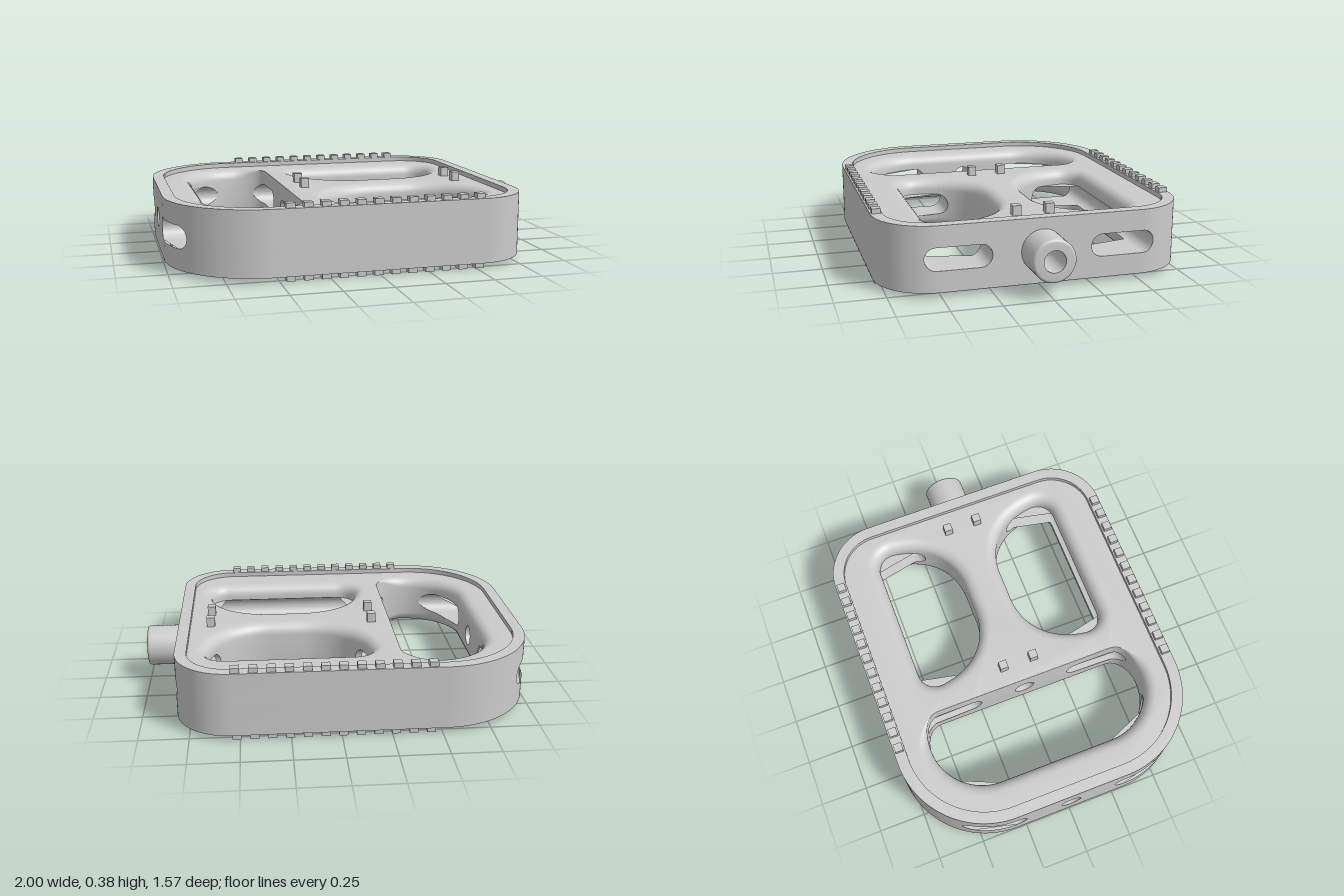
import * as THREE from 'three';
import { mergeGeometries, toCreasedNormals } from 'three/addons/utils/BufferGeometryUtils.js';

const MID = 0.19, RIM = 0.165, FLOOR = 0.14, PIN_TOP = 0.19; // heights above the mid plane
const BORE = 0.055, SLOT_R = 0.0575, SLOT_A = 0.3075, SLOT_B = 0.5225;
const D_FLAT = 0.525, TIP = 1.0;
const material = new THREE.MeshStandardMaterial({ color: 0xcccccc, side: THREE.DoubleSide });

// Half height of the cross-drilled openings (bore and slots) at a given depth
function opening(z) {
  const a = Math.abs(z);
  if (a < BORE) return Math.sqrt(BORE * BORE - a * a);
  const d = Math.max(0, SLOT_A - a, a - SLOT_B);
  return d < SLOT_R ? Math.sqrt(SLOT_R * SLOT_R - d * d) : 0;
}

// Depth samples across the bore and across one slot
const boreZ = [], slotZ = [];
for (let i = 0; i <= 20; i++) boreZ.push(-BORE * Math.cos(Math.PI * i / 20));
for (let i = 0; i <= 10; i++) slotZ.push(SLOT_A - SLOT_R * Math.cos(Math.PI * i / 20));
slotZ.push(SLOT_B);
for (let i = 1; i <= 10; i++) slotZ.push(SLOT_B + SLOT_R * Math.sin(Math.PI * i / 20));
slotZ.push(D_FLAT);
slotZ.sort((a, b) => a - b);
const breaks = [...boreZ, ...slotZ, ...slotZ.map(z => -z)];

// Outline points without duplicates, with extra points where openings begin and end
function sample(shape) {
  let pts = shape.getPoints(20);
  pts = pts.filter((p, i) => p.distanceTo(pts[(i + 1) % pts.length]) > 1e-5);
  const out = [];
  pts.forEach((a, i) => {
    const b = pts[(i + 1) % pts.length];
    out.push(a);
    breaks.filter(z => (z - a.y) * (z - b.y) < 0 && Math.min(Math.abs(z - a.y), Math.abs(z - b.y)) > 1e-5)
      .map(z => (z - a.y) / (b.y - a.y)).sort((p, q) => p - q)
      .forEach(t => out.push(a.clone().lerp(b, t)));
  });
  return out;
}

// Body outline: large corners on the outer end, small ones on the spindle end
function bodyShape(inset) {
  const x0 = -1 + inset, x1 = 0.82 - inset, z = 0.785 - inset, R = 0.48 - inset, r = 0.28 - inset;
  const s = new THREE.Shape();
  s.absarc(x1 - r, z - r, r, 0, Math.PI / 2);
  s.absarc(x0 + R, z - R, R, Math.PI / 2, Math.PI);
  s.absarc(x0 + R, R - z, R, Math.PI, Math.PI * 1.5);
  s.absarc(x1 - r, r - z, r, Math.PI * 1.5, Math.PI * 2);
  return s;
}

function endWindow() {
  const s = new THREE.Shape();
  s.moveTo(-0.325, -0.49);
  s.lineTo(-0.325, 0.49);
  s.bezierCurveTo(-0.325, 0.56, -0.39, 0.6, -0.495, 0.6);
  s.absarc(-0.495, 0.31, 0.29, Math.PI / 2, Math.PI);
  s.absarc(-0.495, -0.31, 0.29, Math.PI, Math.PI * 1.5);
  s.bezierCurveTo(-0.39, -0.6, -0.325, -0.56, -0.325, -0.49);
  return s;
}

function sideWindow() {
  const s = new THREE.Shape();
  s.moveTo(0.16, 0.105);
  s.lineTo(0.32, 0.105);
  s.bezierCurveTo(0.48, 0.105, 0.63, 0.2, 0.658, 0.42);
  s.bezierCurveTo(0.662, 0.48, 0.62, D_FLAT, 0.56, D_FLAT);
  s.lineTo(-0.08, D_FLAT);
  s.bezierCurveTo(-0.14, D_FLAT, -0.182, 0.48, -0.178, 0.42);
  s.bezierCurveTo(-0.15, 0.2, 0, 0.105, 0.16, 0.105);
  return s;
}

// Surface through rows of [x, y, z] points
function loft(rows, closed) {
  const n = rows[0].length, index = [];
  for (let i = 0; i < rows.length - 1; i++) {
    for (let j = 0; j < (closed ? n : n - 1); j++) {
      const k = (j + 1) % n, a = i * n + j, b = i * n + k;
      index.push(a, b, b + n, a, b + n, a + n);
    }
  }
  const g = new THREE.BufferGeometry();
  g.setAttribute('position', new THREE.Float32BufferAttribute(rows.flat(2), 3));
  g.setIndex(index);
  return g;
}

const ring = (pts, y) => pts.map((p, i) => [p.x, typeof y === 'function' ? y(p, i) : y, -p.y]);

function plate(outer, holes, y) {
  const s = new THREE.Shape(outer);
  s.holes = holes.map(h => new THREE.Path(h));
  return new THREE.ShapeGeometry(s).rotateX(-Math.PI / 2).translate(0, y, 0);
}

// Window wall ending in a rounded edge of radius r(point); also returns its outer edge
function windowWall(pts, r) {
  const n = pts.length;
  const push = (amount) => pts.map((p, i) => {
    const t = pts[(i + 1) % n].clone().sub(pts[(i + n - 1) % n]).normalize();
    return new THREE.Vector2(p.x + t.y * amount(p), p.y - t.x * amount(p));
  });
  const rows = [ring(pts, p => opening(p.y))];
  let edge;
  for (let k = 0; k <= 8; k++) {
    const a = k / 8 * Math.PI / 2;
    edge = push(p => r(p) * (1 - Math.cos(a)));
    rows.push(ring(edge, (_, i) => FLOOR - r(pts[i]) * (1 - Math.sin(a))));
  }
  return { geometry: loft(rows.reverse(), true), edge };
}

// Leftmost (-1) or rightmost (+1) x of an outline at depth z
function xAt(pts, z, side) {
  let best = -Infinity;
  pts.forEach((a, i) => {
    const b = pts[(i + 1) % pts.length];
    if ((z - a.y) * (z - b.y) > 1e-9) return;
    const t = Math.abs(b.y - a.y) < 1e-7 ? 1 : THREE.MathUtils.clamp((z - a.y) / (b.y - a.y), 0, 1);
    best = Math.max(best, side * (a.x + (b.x - a.x) * t));
  });
  return side * best;
}

function tunnel(zs, from, to) {
  const row = f => zs.map(z => [f(z), opening(z), -z]);
  return loft([row(from), row(to)], false);
}

function smooth(list) {
  const flat = list.map(g => {
    const f = g.index ? g.toNonIndexed() : g;
    for (const k of Object.keys(f.attributes)) if (k !== 'position') f.deleteAttribute(k);
    return f;
  });
  return toCreasedNormals(mergeGeometries(flat).scale(50, 50, 50), 0.5).scale(0.02, 0.02, 0.02);
}

function addMesh(parent, name, geometry) {
  const m = new THREE.Mesh(geometry, material);
  m.name = name;
  parent.add(m);
  return m;
}

function buildHalf(name) {
  const half = new THREE.Group();
  half.name = name;
  const outer = sample(bodyShape(0)), inner = sample(bodyShape(0.06));
  const end = sample(endWindow()), side = sample(sideWindow());
  const sideMirror = side.map(p => new THREE.Vector2(p.x, -p.y)).reverse();

  addMesh(half, 'outerWall', smooth([loft([ring(outer, p => opening(p.y)), ring(outer, RIM)], true)]));
  addMesh(half, 'rim', smooth([plate(outer, [inner], RIM), loft([ring(inner, RIM), ring(inner, FLOOR)], true)]));

  // Recessed deck with rounded windows; the edge by the cross bar fades to sharp
  const fade = p => 0.003 + 0.057 * (1 - THREE.MathUtils.smoothstep(p.x, -0.5, -0.33));
  const windows = [windowWall(end, fade), windowWall(side, () => 0.06), windowWall(sideMirror, () => 0.06)];
  addMesh(half, 'deck', smooth([plate(inner, windows.map(w => w.edge), FLOOR), ...windows.map(w => w.geometry)]));

  // Slots and axle bore running through the bars
  const outL = z => xAt(outer, z, -1), outR = z => xAt(outer, z, 1);
  const endL = z => xAt(end, z, -1), endR = z => xAt(end, z, 1);
  const tunnels = [tunnel(boreZ, outL, endL), tunnel(boreZ, endR, () => TIP)];
  for (const s of [1, -1]) {
    const window = s > 0 ? side : sideMirror;
    const order = zs => (s > 0 ? zs : zs.map(z => -z).reverse());
    const near = order(slotZ.filter(z => z <= D_FLAT)), far = order(slotZ.filter(z => z >= D_FLAT));
    tunnels.push(
      tunnel(order(slotZ), outL, endL),
      tunnel(near, endR, z => xAt(window, z, -1)),
      tunnel(near, z => xAt(window, z, 1), outR),
      tunnel(far, endR, outR));
  }
  addMesh(half, 'slotsAndBore', smooth(tunnels));

  // Grip pins
  const pin = (x, z, base) => addMesh(half, 'gripPin',
    new THREE.BoxGeometry(0.044, PIN_TOP - base, 0.044).translate(x, (PIN_TOP + base) / 2, z));
  for (const s of [1, -1]) {
    for (let i = 0; i < 12; i++) pin(-0.445 + i * 0.0874, s * 0.755, RIM - 0.01);
    for (const x of [-0.22, 0.65]) pin(x, s * 0.085, FLOOR - 0.015);
  }
  half.position.y = MID;
  return half;
}

export function createModel() {
  const model = new THREE.Group();
  model.name = 'pedal';
  const lower = buildHalf('lowerHalf');
  lower.rotation.x = Math.PI;
  model.add(buildHalf('upperHalf'), lower);

  // Spindle stub with a rounded tip
  const profile = [[0.108, 0.815], [0.108, 0.985]];
  for (let i = 1; i <= 5; i++) {
    const a = i / 5 * Math.PI / 2;
    profile.push([0.093 + 0.015 * Math.cos(a), 0.985 + 0.015 * Math.sin(a)]);
  }
  profile.push([BORE, TIP]);
  const lathe = new THREE.LatheGeometry(profile.map(p => new THREE.Vector2(...p)), 48).rotateZ(-Math.PI / 2);
  addMesh(model, 'spindle', smooth([lathe])).position.y = MID;
  return model;
}
